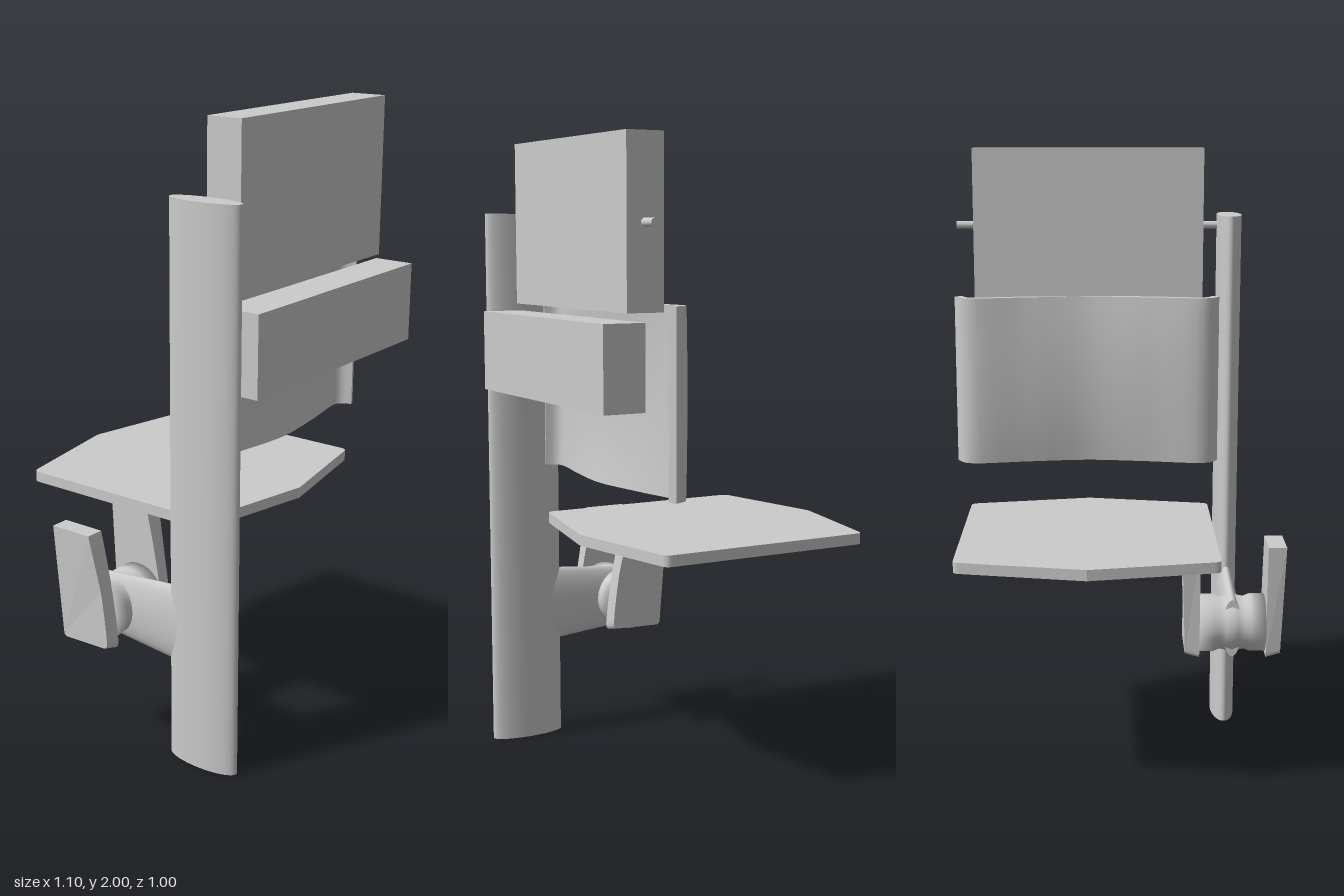
import * as THREE from 'three';

const material = new THREE.MeshStandardMaterial({ color: 0xcccccc });

function add(group, name, geometry, x = 0, y = 0, z = 0) {
  const mesh = new THREE.Mesh(geometry, material);
  mesh.name = name;
  mesh.position.set(x, y, z);
  group.add(mesh);
  return mesh;
}

// Box given by its minimum and maximum corners
function addBox(group, name, [x0, y0, z0], [x1, y1, z1]) {
  add(group, name, new THREE.BoxGeometry(x1 - x0, y1 - y0, z1 - z0),
    (x0 + x1) / 2, (y0 + y1) / 2, (z0 + z1) / 2);
}

// Gently bowed panel with curled ends: a subdivided box bent along a plan curve
function backrestGeometry() {
  const plan = new THREE.CatmullRomCurve3([
    [-0.335, 0.305], [-0.322, 0.27], [-0.295, 0.25], [-0.1, 0.268], [0.095, 0.287],
    [0.3, 0.268], [0.495, 0.25], [0.52, 0.27], [0.535, 0.305],
  ].map(([x, z]) => new THREE.Vector3(x, 0, z)));
  const geometry = new THREE.BoxGeometry(1, 1, 1, 48, 12, 1);
  const pos = geometry.attributes.position;
  for (let i = 0; i < pos.count; i++) {
    const u = pos.getX(i) + 0.5, v = pos.getY(i), side = pos.getZ(i) * 0.028;
    const p = plan.getPointAt(u), t = plan.getTangentAt(u);
    const bow = 0.02 * Math.sin(Math.PI * u) * 4 * v * v;
    pos.setXYZ(i, p.x - t.z * side, 1.2275 + v * 0.565, p.z + t.x * side + bow);
  }
  geometry.computeVertexNormals();
  return geometry;
}

// Flat seat with shallow points at front and back and small rounded corners
function seatGeometry() {
  const c = 0.095, w = 0.41, zc = -0.0875, corner = 0.352, tip = 0.432, r = 0.02;
  const shape = new THREE.Shape();
  shape.moveTo(c + w, zc - corner + r);
  shape.lineTo(c + w, zc + corner - r);
  shape.quadraticCurveTo(c + w, zc + corner, c + w - r, zc + corner + 0.004);
  shape.lineTo(c, zc + tip);
  shape.lineTo(c - w + r, zc + corner + 0.004);
  shape.quadraticCurveTo(c - w, zc + corner, c - w, zc + corner - r);
  shape.lineTo(c - w, zc - corner + r);
  shape.quadraticCurveTo(c - w, zc - corner, c - w + r, zc - corner - 0.004);
  shape.lineTo(c, zc - tip);
  shape.lineTo(c + w - r, zc - corner - 0.004);
  shape.quadraticCurveTo(c + w, zc - corner, c + w, zc - corner + r);
  return new THREE.ExtrudeGeometry(shape, { depth: 0.035, bevelEnabled: false, curveSegments: 5 })
    .rotateX(Math.PI / 2);
}

// Upright lug in the z-y plane, with the lower outer edge rounded off
function lugGeometry(outward) {
  const shape = new THREE.Shape();
  shape.moveTo(-0.05, 0.74);
  shape.lineTo(0.095, 0.74);
  shape.lineTo(0.076, 0.37);
  shape.quadraticCurveTo(0.075, 0.355, 0.06, 0.355);
  shape.lineTo(-0.1, 0.36);
  shape.quadraticCurveTo(-0.115, 0.362, -0.112, 0.39);
  shape.quadraticCurveTo(-0.1, 0.53, -0.05, 0.74);
  const geometry = new THREE.ExtrudeGeometry(shape, { depth: 0.06, bevelEnabled: false, curveSegments: 8 });
  // The shape's x runs backward (-z), and its depth runs along x
  geometry.rotateY(Math.PI / 2).translate(-0.03, 0, 0);
  const pos = geometry.attributes.position;
  for (let i = 0; i < pos.count; i++) {
    const x = pos.getX(i), y = pos.getY(i), z = pos.getZ(i);
    if (x * outward > 0 && y < 0.7) pos.setXYZ(i, x - outward * 0.012, y + 0.012, z * 0.95);
  }
  geometry.computeVertexNormals();
  return geometry;
}

// Flattened strut, flared where it meets the post
function strutGeometry() {
  const geometry = new THREE.CylinderGeometry(1, 1, 1, 32, 12).rotateX(Math.PI / 2);
  const pos = geometry.attributes.position;
  for (let i = 0; i < pos.count; i++) {
    const k = pos.getZ(i) + 0.5;
    const z = THREE.MathUtils.lerp(-0.05, 0.3, k);
    const half = 0.098 + 0.032 * k;
    pos.setXYZ(i, -0.38 + pos.getX(i) * 0.031, 0.45 + pos.getY(i) * half, z);
  }
  geometry.computeVertexNormals();
  return geometry;
}

export function createModel() {
  const model = new THREE.Group();
  model.name = 'foldingSeat';

  // Oval post
  const post = add(model, 'post', new THREE.CylinderGeometry(1, 1, 1.78, 64), -0.38, 0.89, 0.365);
  post.scale.set(0.041, 1, 0.126);

  // Upper and lower blocks with the pin that carries them
  addBox(model, 'upperBlock', [-0.29, 1.49, 0.302], [0.48, 2, 0.422]);
  addBox(model, 'lowerBlock', [-0.335, 1.21, 0.387], [0.524, 1.465, 0.52]);
  add(model, 'pin', new THREE.CylinderGeometry(0.013, 0.013, 0.92, 20).rotateZ(Math.PI / 2), 0.08, 1.745, 0.363);

  // Backrest and seat
  add(model, 'backrest', backrestGeometry());
  add(model, 'seat', seatGeometry(), 0, 0.785, 0.044);

  // Pivot hub, turned about the x axis, with shallow grooves beside the strut
  const profile = [[0, -0.11], [0.096, -0.11], [0.096, -0.06], [0.088, -0.04], [0.092, -0.02],
    [0.098, 0], [0.092, 0.02], [0.088, 0.04], [0.096, 0.06], [0.096, 0.11], [0, 0.11]];
  const hub = new THREE.LatheGeometry(profile.map(([r, h]) => new THREE.Vector2(r, h)), 48);
  add(model, 'hub', hub.rotateZ(Math.PI / 2), -0.38, 0.45, 0.014);

  // Strut and the pair of lugs
  add(model, 'strut', strutGeometry());
  for (const side of [-1, 1]) {
    add(model, side > 0 ? 'leftLug' : 'rightLug', lugGeometry(side), -0.38 + side * 0.14, 0, 0);
  }
  return model;
}
